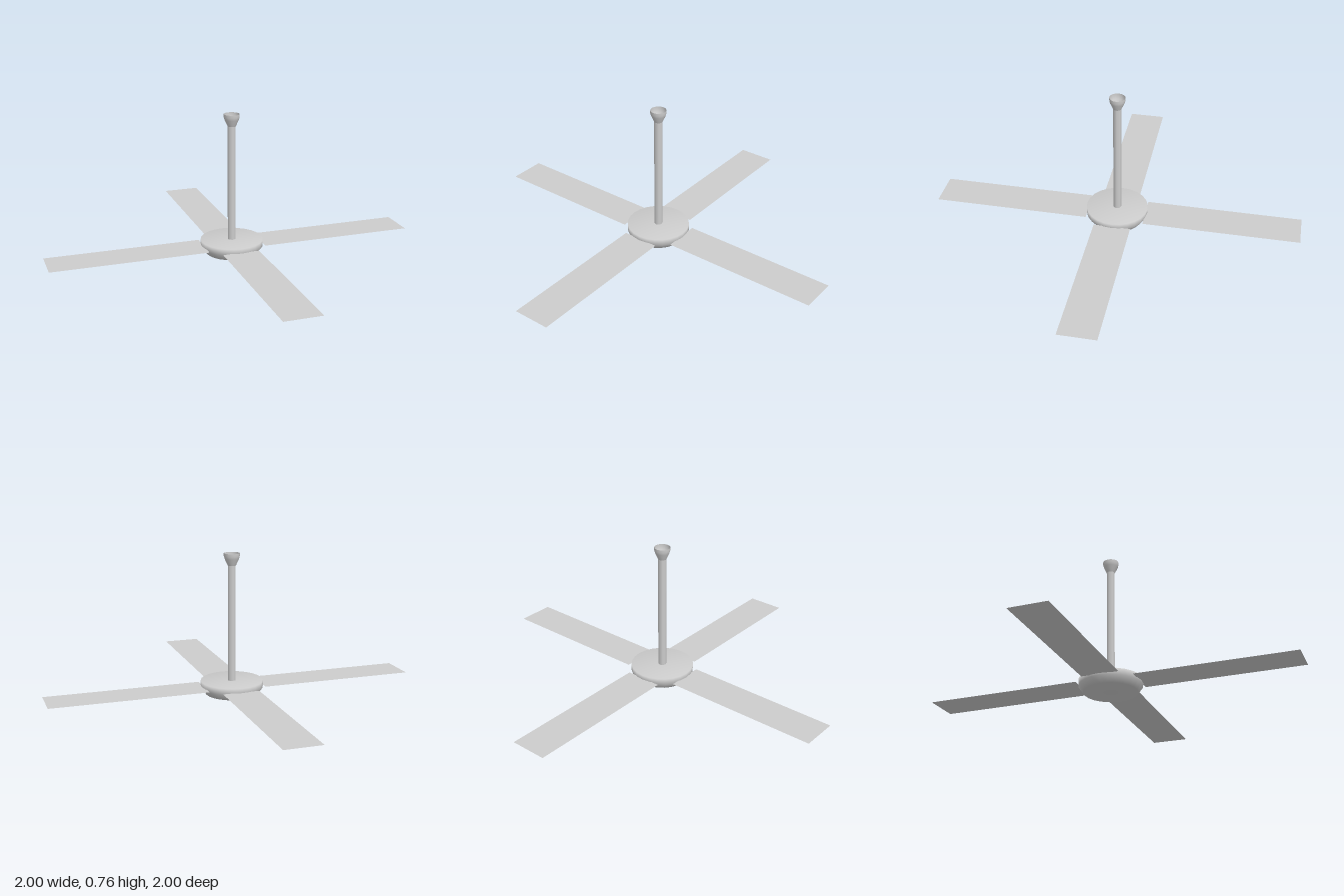
import * as THREE from 'three';

const grey = new THREE.MeshStandardMaterial({ color: 0xcccccc, side: THREE.DoubleSide });
grey.name = 'satin grey';

function lathe(name, points, sides) {
  const profile = points.map(([r, y]) => new THREE.Vector2(r, y));
  const mesh = new THREE.Mesh(new THREE.LatheGeometry(profile, sides), grey);
  mesh.name = name;
  return mesh;
}

export function createModel() {
  const fan = new THREE.Group();
  fan.name = 'ceilingFan';

  // Motor housing: a shallow drum, softly shaded, tapering towards its underside
  fan.add(lathe('motorHousing', [[0, 0], [0.142, 0], [0.168, 0.035], [0.168, 0.07], [0, 0.07]], 24));

  // Down rod
  const rod = new THREE.Mesh(new THREE.CylinderGeometry(0.022, 0.022, 0.64, 8), grey);
  rod.name = 'downRod';
  rod.position.y = 0.38;
  fan.add(rod);

  // Open flared ceiling cup
  fan.add(lathe('ceilingCup', [[0.022, 0.695], [0.038, 0.73], [0.042, 0.745], [0.042, 0.76]], 16));

  // Four thin flat blades
  for (let i = 0; i < 4; i++) {
    const arm = new THREE.Group();
    arm.name = 'bladeArm' + (i + 1);
    const blade = new THREE.Mesh(new THREE.PlaneGeometry(0.843, 0.2), grey);
    blade.name = 'blade';
    blade.rotation.x = -Math.PI / 2;
    blade.position.set(0.5785, 0.045, 0);
    arm.add(blade);
    arm.rotation.y = (i * Math.PI) / 2;
    fan.add(arm);
  }
  return fan;
}
